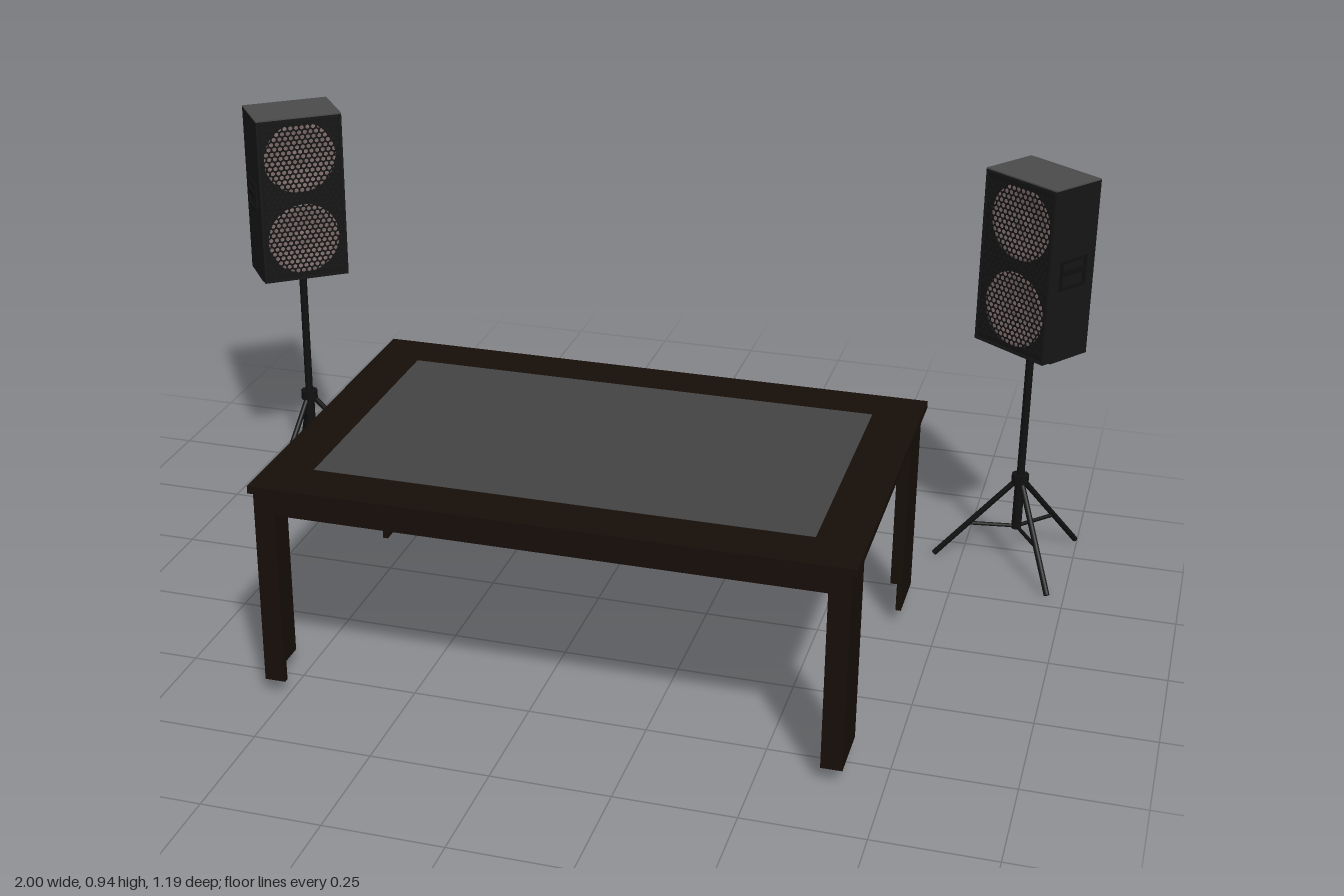
import * as THREE from 'three';

const paint = (color, side = THREE.FrontSide) => new THREE.MeshStandardMaterial({ color, side });
const wood = paint(0x160e08);
const glass = paint(0x424242);
const black = paint(0x161616);
const lidGrey = paint(0x4a4a4a);
const metal = paint(0x101010);
const mesh = paint(0x131313, THREE.DoubleSide);
const coneMat = paint(0x7c6a6a, THREE.DoubleSide);

function add(parent, name, geometry, material, x = 0, y = 0, z = 0) {
  const m = new THREE.Mesh(geometry, material);
  m.name = name;
  m.position.set(x, y, z);
  parent.add(m);
  return m;
}

// Box given by two opposite corners
function box(parent, name, material, a, b) {
  const size = b.map((v, i) => Math.abs(v - a[i]));
  const mid = b.map((v, i) => (v + a[i]) / 2);
  return add(parent, name, new THREE.BoxGeometry(...size), material, ...mid);
}

// Round bar between two points
function bar(parent, name, a, b, r) {
  const from = new THREE.Vector3(...a), to = new THREE.Vector3(...b);
  const dir = to.clone().sub(from);
  const m = add(parent, name, new THREE.CylinderGeometry(r, r, dir.length(), 10), metal);
  m.position.copy(from).add(to).multiplyScalar(0.5);
  m.quaternion.setFromUnitVectors(new THREE.Vector3(0, 1, 0), dir.normalize());
}

function rectShape(w, h) {
  const s = new THREE.Shape();
  s.moveTo(-w / 2, -h / 2).lineTo(w / 2, -h / 2).lineTo(w / 2, h / 2).lineTo(-w / 2, h / 2).closePath();
  return s;
}

function frameGeometry(w, h, border, depth) {
  const s = rectShape(w, h);
  s.holes.push(new THREE.Path(rectShape(w - 2 * border, h - 2 * border).getPoints().reverse()));
  return new THREE.ExtrudeGeometry(s, { depth, bevelEnabled: false });
}

const circlePath = (x, y, r) => new THREE.Path().absarc(x, y, r, 0, Math.PI * 2, true);

function createTable() {
  const g = new THREE.Group();
  g.name = 'table';
  const x0 = -0.546, x1 = 0.669, z0 = -0.205, z1 = 0.588, t = 0.012;

  box(g, 'tableTop', wood, [-0.556, 0.466, -0.212], [0.68, 0.482, 0.593]);
  box(g, 'glassPanel', glass, [-0.457, 0.475, -0.107], [0.578, 0.4828, 0.485]);

  // Closed housing under the top, with a small plate below
  box(g, 'housing', wood, [x0 + 0.003, 0.42, z0 + 0.003], [x1 - 0.003, 0.466, z1 - 0.003]);
  box(g, 'controlPlate', glass, [-0.035, 0.4185, 0.27], [0.045, 0.421, 0.39]);

  // L-shaped legs of two boards, open to the inside
  for (const [x, sx] of [[x0, 1], [x1, -1]])
    for (const [z, sz] of [[z0, 1], [z1, -1]]) {
      box(g, 'legSideBoard', wood, [x, 0.036, z], [x + sx * t, 0.466, z + sz * 0.13]);
      box(g, 'legEndBoard', wood, [x + sx * t, 0.036, z], [x + sx * 0.044, 0.466, z + sz * t]);
    }
  return g;
}

// Perforated sheet with staggered holes
function grilleGeometry(w, h) {
  const s = rectShape(w, h);
  const step = 0.0135, row = step * 0.866;
  const rows = Math.floor((h / 2 - 0.006) / row);
  for (let j = -rows; j <= rows; j++)
    for (let i = -7; i <= 7; i++) {
      const x = (i + (j & 1 ? 0.5 : 0)) * step;
      if (Math.abs(x) < w / 2 - 0.006) s.holes.push(circlePath(x, j * row, 0.0051));
    }
  return new THREE.ShapeGeometry(s, 4);
}

function createSpeaker() {
  const g = new THREE.Group();
  g.name = 'speaker';
  const w = 0.203, h = 0.402, d = 0.14, R = 0.086;

  box(g, 'cabinet', black, [-w / 2, -h / 2, -d / 2], [w / 2, h / 2 - 0.003, 0.045]);
  box(g, 'lid', lidGrey, [-w / 2, h / 2 - 0.003, -d / 2], [w / 2, h / 2, d / 2]);

  // Front baffle with two round openings, behind a framed grille
  const front = rectShape(w, h - 0.006);
  for (const y of [-0.1, 0.1]) front.holes.push(circlePath(0, y, R));
  add(g, 'baffle', new THREE.ExtrudeGeometry(front, { depth: 0.018, bevelEnabled: false, curveSegments: 24 }),
    black, 0, 0, 0.045);
  add(g, 'frontFrame', frameGeometry(w, h - 0.006, 0.006, 0.007), black, 0, 0, 0.063);
  add(g, 'grille', grilleGeometry(w - 0.012, h - 0.018), mesh, 0, 0, 0.068);

  // Shallow woofer cones
  const coneProfile = [[0.001, 0.011], [0.018, 0.009], [0.026, 0.005], [0.07, 0.013], [0.078, 0.016], [0.086, 0.013]];
  for (const y of [-0.1, 0.1]) {
    const cone = add(g, 'woofer',
      new THREE.LatheGeometry(coneProfile.map(p => new THREE.Vector2(...p)), 32), coneMat, 0, y, 0.046);
    cone.rotation.x = Math.PI / 2;
  }

  // Side handles: frame with a cross grip
  for (const s of [-1, 1]) {
    const handle = new THREE.Group();
    handle.name = 'handle';
    add(handle, 'handleFrame', frameGeometry(0.08, 0.068, 0.007, 0.004), metal);
    add(handle, 'handleGrip', new THREE.BoxGeometry(0.07, 0.014, 0.006), metal, 0, 0.004, 0.002);
    handle.position.set(s * w / 2, 0.002, -0.002);
    handle.rotation.y = s * Math.PI / 2;
    g.add(handle);
  }
  return g;
}

// Tripod with pole at (x, z) and feet at the given floor points
function createStand(x, z, feet) {
  const g = new THREE.Group();
  g.name = 'speakerStand';
  bar(g, 'pole', [x, 0.2, z], [x, 0.55, z], 0.009);
  bar(g, 'lowerTube', [x, 0.085, z], [x, 0.215, z], 0.0115);
  bar(g, 'hub', [x, 0.2, z], [x, 0.222, z], 0.02);
  for (const [fx, fz] of feet) {
    const dx = fx - x, dz = fz - z;
    const at = (t) => [x + dx * t, 0.215 - 0.209 * t, z + dz * t];
    bar(g, 'standLeg', at(0.08), at(1), 0.0065);
    bar(g, 'brace', [x, 0.09, z], at(0.6), 0.0045);
  }
  return g;
}

export function createModel() {
  const model = new THREE.Group();
  model.name = 'tableWithSpeakers';
  model.add(createTable());

  const sets = [
    { at: [-0.877, -0.425], turn: 0.65, pole: [-0.874, -0.431],
      feet: [[-0.968, -0.586], [-0.697, -0.473], [-0.9, -0.245]] },
    { at: [0.8655, -0.4515], turn: -0.63, pole: [0.869, -0.452],
      feet: [[0.995, -0.589], [0.688, -0.426], [0.963, -0.293]] },
  ];
  for (const s of sets) {
    const speaker = createSpeaker();
    speaker.position.set(s.at[0], 0.74, s.at[1]);
    speaker.rotation.y = s.turn;
    model.add(speaker, createStand(...s.pole, s.feet));
  }
  return model;
}
